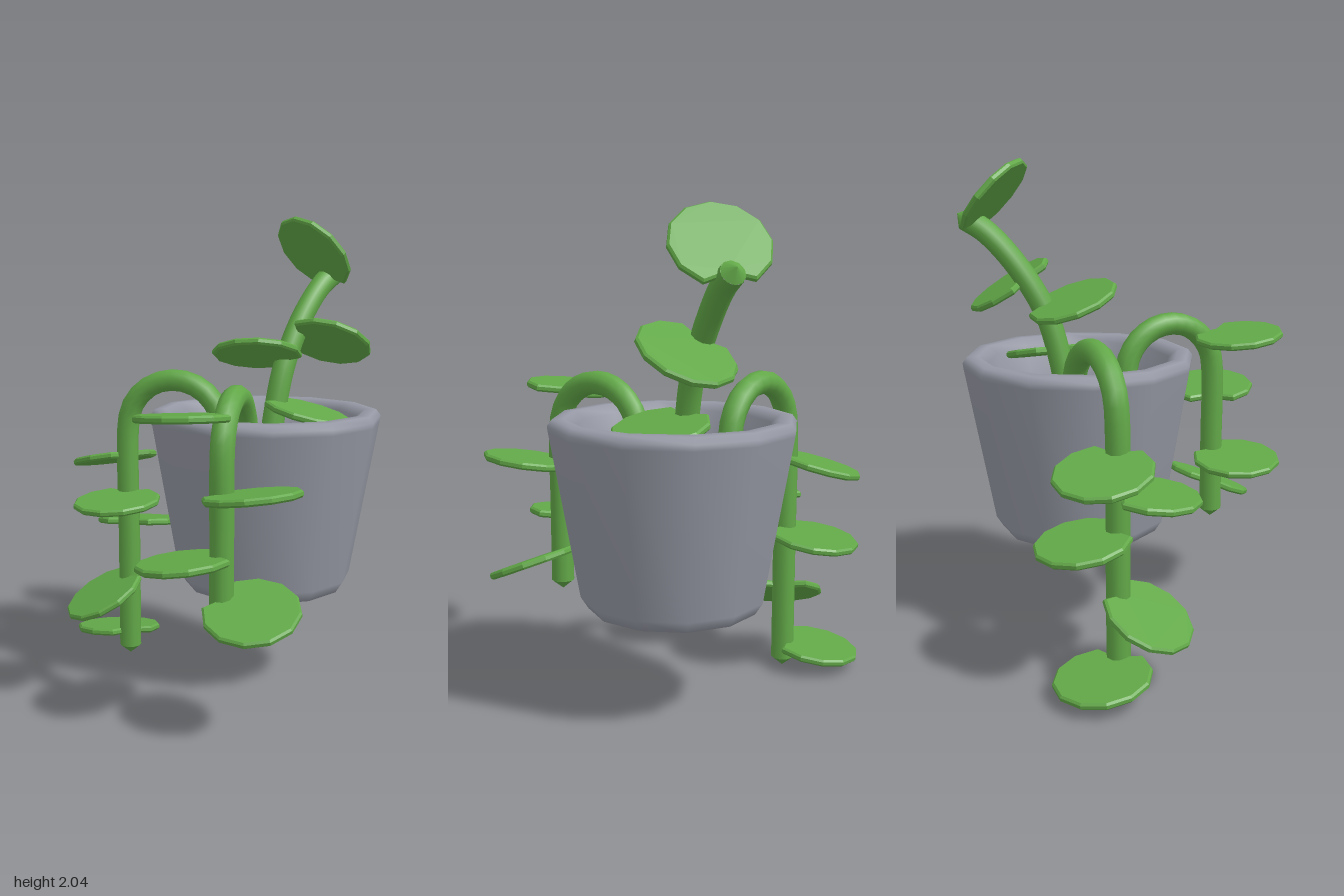
import * as THREE from 'three';

const V = (x, y, z) => new THREE.Vector3(x, y, z);
const RADIUS = 0.05;

export function createModel() {
  const mat = (name, color) => Object.assign(new THREE.MeshStandardMaterial({ color }), { name });
  const green = mat('leafGreen', 0x62a848);
  const grey = mat('potGrey', 0x9699a5);
  const brown = mat('soilBrown', 0x8b5138);

  const root = new THREE.Group();
  root.name = 'trailingPlant';
  function add(name, geo, material, parent = root) {
    const m = new THREE.Mesh(geo, material);
    m.name = name;
    parent.add(m);
    return m;
  }
  function group(name) {
    const g = new THREE.Group();
    g.name = name;
    root.add(g);
    return g;
  }

  // Twelve-sided pot with a rounded rim and hollow inside; radii are to the flats
  const toCorner = 1 / Math.cos(Math.PI / 12);
  const profile = [
    [0, 0.44], [0.3, 0.44], [0.335, 0.447], [0.365, 0.495], [0.48, 1.17], [0.483, 1.195],
    [0.465, 1.22], [0.42, 1.222], [0.38, 1.19], [0.34, 1],
  ].map(([r, y]) => new THREE.Vector2(r * toCorner, y));
  const pot = add('pot', new THREE.LatheGeometry(profile, 12), grey);
  pot.rotation.y = Math.PI / 12;
  pot.position.set(0.225, 0, -0.19);

  // Soil disc
  const soil = add('soil', new THREE.CircleGeometry(0.348 * toCorner, 12).rotateX(-Math.PI / 2), brown);
  soil.rotation.y = Math.PI / 12;
  soil.position.set(0.225, 1.04, -0.19);

  // Stem: a tube along a curve, closed with a pointed tip
  function stem(parent, points) {
    const curve = new THREE.CatmullRomCurve3(points, false, 'centripetal');
    add('stem', new THREE.TubeGeometry(curve, 32, RADIUS, 10), green, parent);
    const tip = add('stemTip', new THREE.ConeGeometry(RADIUS, 0.04, 10).translate(0, 0.02, 0), green, parent);
    tip.position.copy(curve.getPoint(1));
    tip.quaternion.setFromUnitVectors(V(0, 1, 0), curve.getTangent(1));
    return curve;
  }

  // Leaf: a twelve-sided oval plate, notched where it meets the stem
  const outline = Array.from({ length: 12 }, (_, i) => {
    const a = (i * Math.PI) / 6;
    return i === 6 ? new THREE.Vector2(0, 0) : new THREE.Vector2(0.13 + 0.19 * Math.cos(a), 0.195 * Math.sin(a));
  });
  const leafGeo = new THREE.ExtrudeGeometry(new THREE.Shape(outline), {
    depth: 0.014, bevelThickness: 0.008, bevelSize: 0.008, bevelOffset: -0.004, bevelSegments: 1,
  }).translate(0, 0, -0.007);

  // Heading is in degrees from +x towards +z; gx and gz are the slopes of the leaf plane
  function leaf(parent, point, heading, gx, gz) {
    const a = THREE.MathUtils.degToRad(heading);
    const n = V(-gx, 1, -gz).normalize();
    const u = V(Math.cos(a), gx * Math.cos(a) + gz * Math.sin(a), Math.sin(a)).normalize();
    const m = add('leaf', leafGeo, green, parent);
    m.quaternion.setFromRotationMatrix(new THREE.Matrix4().makeBasis(u, n.clone().cross(u), n));
    m.position.copy(point).addScaledVector(u, 0.02);
  }

  // Trailing shoot: rises from the soil, arches over the rim and hangs straight down
  function trailingShoot(name, start, dir, reach, bottom) {
    const g = group(name);
    const at = (d, y) => start.clone().addScaledVector(dir, d).setY(y);
    const points = [at(0, 1)];
    for (let i = 0; i <= 8; i++) {
      const t = (i * Math.PI) / 8;
      points.push(at((reach / 2) * (1 - Math.cos(t)), 1.105 + 0.217 * Math.sin(t)));
    }
    points.push(at(reach, (1.1 + bottom) / 2), at(reach, bottom));
    stem(g, points);
    return (y, ...pose) => leaf(g, at(reach, y), ...pose);
  }

  const frontLeaf = trailingShoot('frontShoot', V(0.19, 0, 0.015), V(0, 0, 1), 0.43, 0.43);
  frontLeaf(1.27, 158, 0.04, 0.1);
  frontLeaf(0.96, 25, 0.12, 0.08);
  frontLeaf(0.715, 158, 0.12, 0.03);
  frontLeaf(0.555, 24, -0.03, -0.42);

  const sideLeaf = trailingShoot('sideShoot', V(0, 0, -0.308), V(-1, 0, 0), 0.445, 0.05);
  sideLeaf(0.97, 225, 0.18, 0.2);
  sideLeaf(0.79, 93, 0.05, -0.09);
  sideLeaf(0.65, 270, 0.03, 0.16);
  sideLeaf(0.39, 139, 0.45, -0.33);
  sideLeaf(0.115, 229, 0.05, 0.15);

  // Upright shoot, leaning back and to the side
  const upright = group('uprightShoot');
  const trunk = stem(upright, [
    V(0.23, 1, -0.24), V(0.25, 1.2, -0.27), V(0.28, 1.4, -0.32),
    V(0.335, 1.6, -0.425), V(0.4, 1.74, -0.535), V(0.445, 1.795, -0.61),
  ]);
  const uprightLeaf = (t, ...pose) => leaf(upright, trunk.getPointAt(t), ...pose);
  uprightLeaf(0.26, 9, -0.25, 0);
  uprightLeaf(0.47, 139, 0.05, 0.38);
  uprightLeaf(0.61, -12, -0.15, 0.6);
  uprightLeaf(0.96, 126, -0.78, 0.92);

  return root;
}
